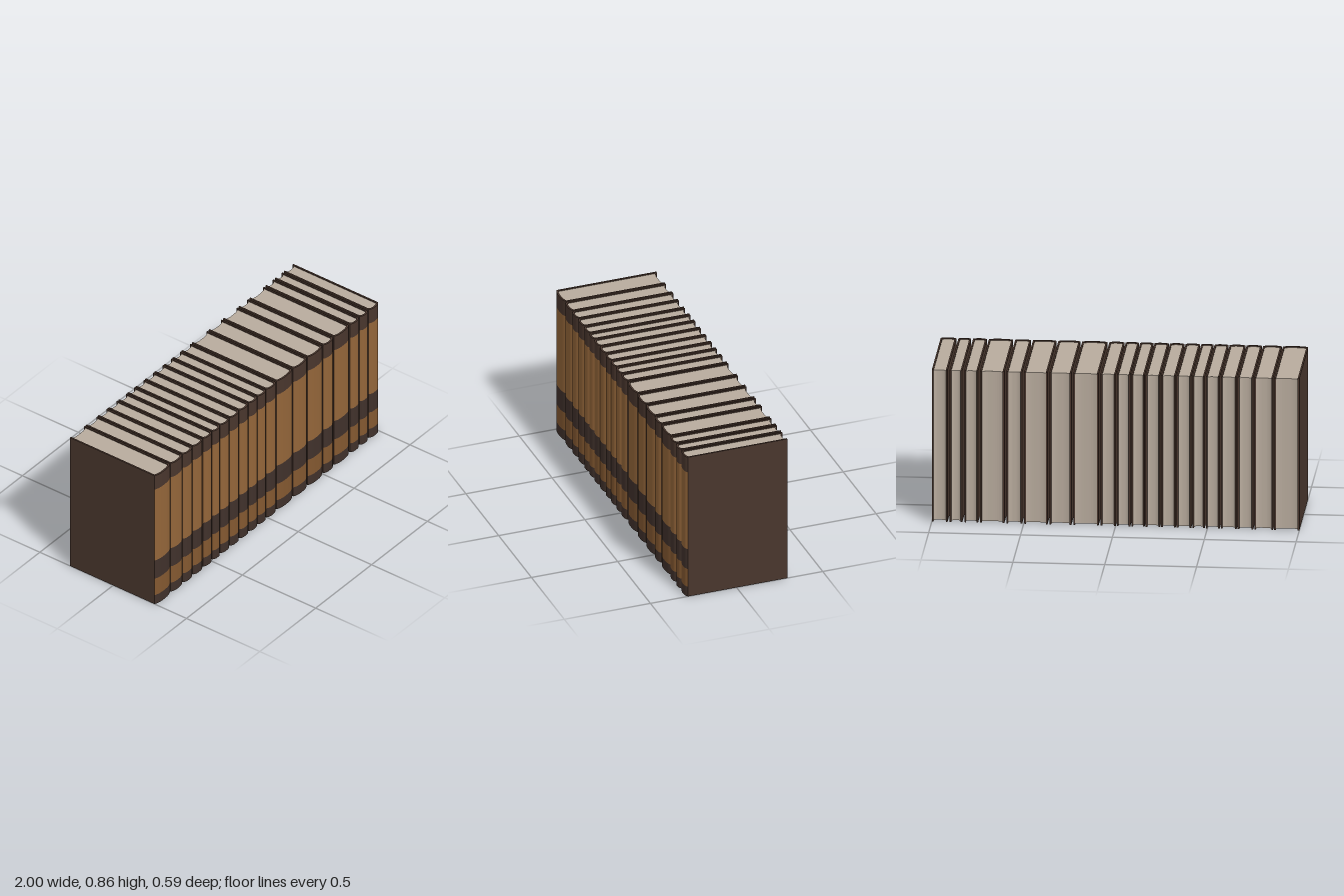
import * as THREE from 'three';

const HEIGHT = 0.863, BACK = -0.295, HINGE = 0.282, BULGE = 0.013, BOARD = 0.009, INSET = 0.006;

// Shared edges between neighbouring books along the row
const EDGES = [-1, -0.86, -0.752, -0.662, -0.57, -0.488, -0.415, -0.33, -0.245, -0.161, -0.083,
  -0.004, 0.087, 0.235, 0.365, 0.503, 0.6, 0.743, 0.829, 0.909, 1];

const flat = (name, color) => {
  const m = new THREE.MeshStandardMaterial({ color });
  m.name = name;
  return m;
};

// Rounded spine line from -half to +half, in (x, z)
function arc(half, zEdge, bulge, steps = 14) {
  const points = [];
  for (let i = 0; i <= steps; i++) {
    const t = -Math.cos((Math.PI * i) / steps);
    points.push(new THREE.Vector2(t * half, zEdge + bulge * (1 - Math.abs(t) ** 3)));
  }
  return points;
}

// Extrude an (x, z) outline upward between two heights
function prism(outline, y0, y1) {
  const g = new THREE.ExtrudeGeometry(new THREE.Shape(outline), { depth: y1 - y0, bevelEnabled: false });
  return g.rotateX(Math.PI / 2).translate(0, y1, 0);
}

export function createModel() {
  const model = new THREE.Group();
  model.name = 'bookRow';
  const cover = flat('darkLeather', 0x49362d);
  const band = flat('darkBand', 0x40312b);
  const tan = flat('tanLeather', 0x936539);
  const tanLow = flat('shadedTanLeather', 0x835830);
  const paper = flat('paper', 0xb8ab9d);

  // Spine bands from the foot to the head
  const bands = [
    ['spineFoot', 0, 0.06, band],
    ['spineLowerPanel', 0.06, 0.17, tanLow],
    ['spineMiddleBand', 0.17, 0.293, band],
    ['spineUpperPanel', 0.293, 0.77, tan],
    ['spineHead', 0.77, HEIGHT, cover],
  ];

  function createBook(width) {
    const book = new THREE.Group();
    const add = (name, geometry, material) => {
      const mesh = new THREE.Mesh(geometry, material);
      mesh.name = name;
      book.add(mesh);
      return mesh;
    };
    const half = width / 2, inner = half - BOARD;

    // Side boards
    const boardGeometry = new THREE.BoxGeometry(BOARD, HEIGHT, HINGE - BACK);
    for (const side of [-1, 1]) {
      add(side < 0 ? 'rightBoard' : 'leftBoard', boardGeometry, cover)
        .position.set(side * (half - BOARD / 2), HEIGHT / 2, (HINGE + BACK) / 2);
    }

    // Curved spine shell, one piece per colour band
    const innerLine = arc(inner, HINGE - 0.008, BULGE - 0.002);
    const shell = [...arc(half, HINGE, BULGE), ...innerLine.slice().reverse()];
    for (const [name, y0, y1, material] of bands) add(name, prism(shell, y0, y1), material);

    // Page block with a hollow fore-edge
    const foreEdge = arc(inner, -0.288, 0.009).reverse();
    add('pages', prism([...innerLine, ...foreEdge], INSET, HEIGHT - INSET), paper);
    return book;
  }

  for (let i = 0; i < EDGES.length - 1; i++) {
    // Gaps are a little wider toward the left end of the row
    const gap = (k) => (k === 0 || k === EDGES.length - 1 ? 0 : k >= 12 ? 0.0055 : 0.003);
    const x0 = EDGES[i] + gap(i), x1 = EDGES[i + 1] - gap(i + 1);
    const book = createBook(x1 - x0);
    book.name = `book${i + 1}`;
    book.position.x = (x0 + x1) / 2;
    model.add(book);
  }
  return model;
}
